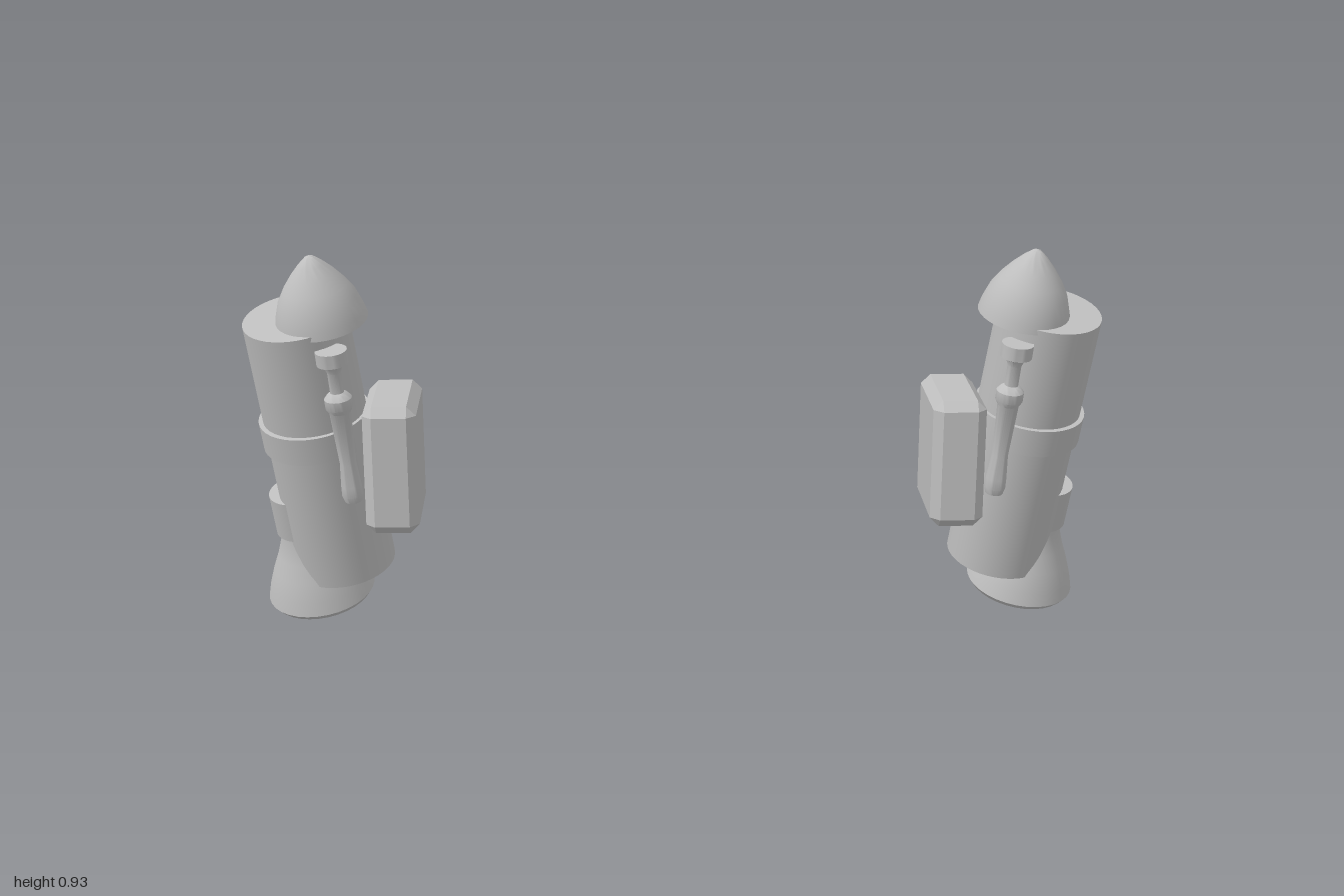
import * as THREE from 'three';
import { toCreasedNormals } from 'three/addons/utils/BufferGeometryUtils.js';
import { ConvexGeometry } from 'three/addons/geometries/ConvexGeometry.js';

const grey = new THREE.MeshStandardMaterial({ color: 0xbfbfbf });
grey.name = 'grey';
const UP = new THREE.Vector3(0, 1, 0);

// Turned part standing on its own base; profile is [radius, height] from bottom to top
function turned(profile, crease = 0.6) {
  const points = profile.map(([r, h]) => new THREE.Vector2(r, h));
  return toCreasedNormals(new THREE.LatheGeometry(points, 32), crease);
}

// Box with every edge cut at 45 degrees
function chamferedBox(w, h, d, c) {
  const points = [];
  for (const x of [-1, 1]) for (const y of [-1, 1]) for (const z of [-1, 1]) {
    const [X, Y, Z] = [x * w / 2, y * h / 2, z * d / 2];
    points.push(
      new THREE.Vector3(X, Y - y * c, Z - z * c),
      new THREE.Vector3(X - x * c, Y, Z - z * c),
      new THREE.Vector3(X - x * c, Y - y * c, Z));
  }
  return new ConvexGeometry(points);
}

const drum = (r, h) => new THREE.CylinderGeometry(r, r, h, 40);

const shapes = {
  body: drum(0.1225, 0.675),
  band: drum(0.131, 0.069),
  nozzleCollar: drum(0.07, 0.105),
  nose: turned([[0, 0], [0.108, 0], [0.104, 0.02], [0.091, 0.06], [0.074, 0.09],
    [0.052, 0.12], [0.03, 0.145], [0.011, 0.163], [0, 0.167]]),
  nozzle: turned([[0, 0], [0.12, 0], [0.13, 0.013], [0.121, 0.045], [0.104, 0.09],
    [0.086, 0.13], [0.068, 0.18], [0.066, 0.21], [0, 0.21]]),
  valve: turned([[0, 0], [0.021, 0], [0.025, 0.015], [0.024, 0.04], [0.019, 0.1],
    [0.025, 0.23], [0.032, 0.242], [0.032, 0.265], [0.024, 0.275], [0.016, 0.28],
    [0.016, 0.33], [0.022, 0.345], [0.037, 0.352], [0.037, 0.385], [0, 0.385]]),
  pack: chamferedBox(0.125, 0.31, 0.26, 0.022),
};

function buildThruster(side) {
  const group = new THREE.Group();
  group.name = side > 0 ? 'leftThruster' : 'rightThruster';

  const add = (name, [x, y, z], axis) => {
    const mesh = new THREE.Mesh(shapes[name], grey);
    mesh.name = name;
    mesh.position.set(side * x, y, z);
    if (axis) {
      const dir = new THREE.Vector3(side * axis[0], axis[1], axis[2]).normalize();
      mesh.quaternion.setFromUnitVectors(UP, dir);
    }
    group.add(mesh);
  };

  // Leaning rocket and its fittings share one axis
  const lean = [0.113, 1, 0.212];
  add('body', [0.84, 0.451, 0], lean);
  add('band', [0.847, 0.499, 0.013], lean);
  add('nose', [0.815, 0.772, 0.075], lean);
  add('nozzle', [0.863, 0.035, -0.083], lean);
  add('nozzleCollar', [0.898, 0.272, -0.034], lean);

  // Valve on the front and upright pack on the inner side
  add('valve', [0.755, 0.348, 0.123], [0.032, 0.385, 0.05]);
  add('pack', [0.6625, 0.43, 0.045]);
  return group;
}

export function createModel() {
  const model = new THREE.Group();
  model.name = 'thrusterPair';
  for (const side of [1, -1]) model.add(buildThruster(side));
  return model;
}
